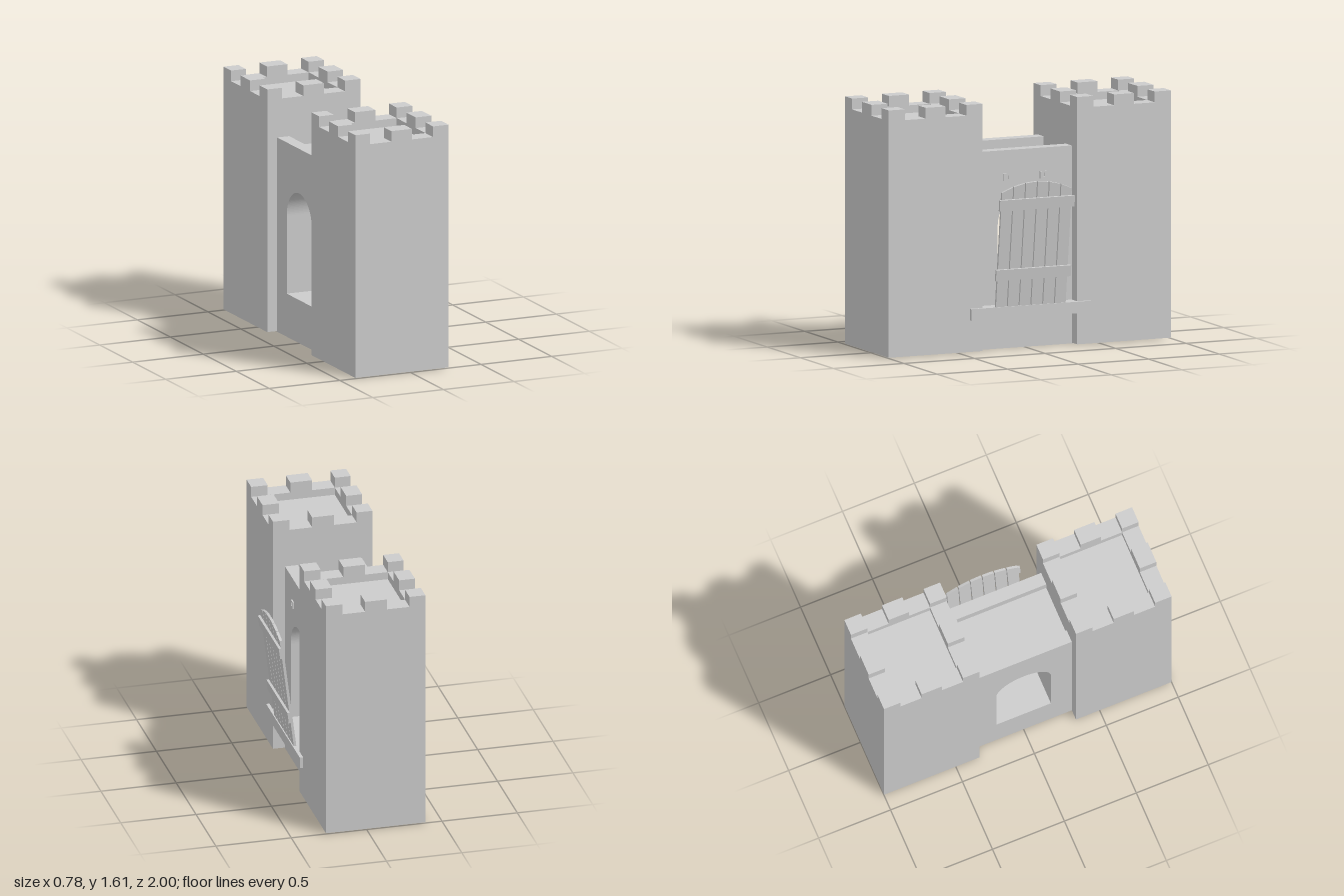
import * as THREE from 'three';

const grey = new THREE.MeshStandardMaterial({ color: 0xcccccc });

function add(parent, name, geometry) {
  const mesh = new THREE.Mesh(geometry, grey);
  mesh.name = name;
  parent.add(mesh);
  return mesh;
}

// Box given by its limits on each axis
function box(parent, name, [x0, x1], [y0, y1], [z0, z1]) {
  const g = new THREE.BoxGeometry(x1 - x0, y1 - y0, z1 - z0);
  g.translate((x0 + x1) / 2, (y0 + y1) / 2, (z0 + z1) / 2);
  return add(parent, name, g);
}

function rectPath(path, x0, x1, y0, y1) {
  path.moveTo(x0, y0);
  path.lineTo(x1, y0);
  path.lineTo(x1, y1);
  path.lineTo(x0, y1);
  path.closePath();
  return path;
}

// Extrude a z/y outline along +x, starting at x0
function extrudeX(shape, x0, depth) {
  const g = new THREE.ExtrudeGeometry(shape, { depth, bevelEnabled: false, curveSegments: 28 });
  g.rotateY(Math.PI / 2);
  g.translate(x0, 0, 0);
  return g;
}

function makeTower(side) {
  const tower = new THREE.Group();
  tower.name = side > 0 ? 'leftTower' : 'rightTower';
  const zr = (a, b) => (side > 0 ? [a, b] : [-b, -a]);
  const floorY = 1.49, wallY = 1.54, topY = 1.61;
  box(tower, 'towerBody', [-0.39, 0.27], [0.005, floorY], zr(0.335, 1));

  // Parapet ring around the sunken roof
  const [z0, z1] = zr(0.335, 1);
  const [i0, i1] = zr(0.45, 0.885);
  const ring = rectPath(new THREE.Shape(), -0.39, 0.27, -z1, -z0);
  ring.holes.push(rectPath(new THREE.Path(), -0.285, 0.16, -i1, -i0));
  const g = new THREE.ExtrudeGeometry(ring, { depth: wallY - floorY, bevelEnabled: false });
  g.rotateX(-Math.PI / 2);
  g.translate(0, floorY, 0);
  add(tower, 'parapet', g);

  // Merlons on corners and mid-sides
  const xs = [[-0.39, -0.285], [-0.135, 0.01], [0.16, 0.27]];
  const zs = [[0.335, 0.45], [0.597, 0.738], [0.885, 1]];
  xs.forEach((x, i) => zs.forEach((z, j) => {
    if (i === 1 && j === 1) return;
    box(tower, 'merlon', x, [wallY, topY], zr(...z));
  }));
  return tower;
}

function makeGatehouse() {
  const house = new THREE.Group();
  house.name = 'gatehouse';
  // Wall with an arched passage
  const wall = rectPath(new THREE.Shape(), -0.335, 0.335, 0.002, 1.22);
  const arch = new THREE.Path();
  arch.moveTo(-0.19, 0.285);
  arch.lineTo(0.19, 0.285);
  arch.lineTo(0.19, 0.8);
  arch.absarc(0, 0.8, 0.19, 0, Math.PI, false);
  arch.closePath();
  wall.holes.push(arch);
  add(house, 'archedWall', extrudeX(wall, -0.32, 0.51));

  // Low walls along the walkway
  for (const x of [[-0.32, -0.235], [0.105, 0.19]]) {
    box(house, 'walkwayParapet', x, [1.22, 1.285], [-0.335, 0.335]);
  }

  // Square chain-hole frames
  for (const z of [-0.13, 0.13]) {
    const frame = rectPath(new THREE.Shape(), z - 0.023, z + 0.023, 1.087, 1.133);
    frame.holes.push(rectPath(new THREE.Path(), z - 0.012, z + 0.012, 1.098, 1.122));
    add(house, 'chainHoleFrame', extrudeX(frame, 0.19, 0.01));
  }

  // Sill and the ledge that carries the gate
  box(house, 'sill', [0.19, 0.27], [0.21, 0.285], [-0.335, 0.335]);
  box(house, 'ledge', [0.27, 0.292], [0.21, 0.285], [-0.425, 0.425]);
  return house;
}

function makeGate() {
  const gate = new THREE.Group();
  gate.name = 'drawbridge';
  // Planks cut along a shallow arc
  const count = 6, half = 0.247, gap = 0.007, thick = 0.017;
  const width = (2 * half - gap * (count - 1)) / count;
  const topAt = (s) => 0.82 - 0.06 * (s / half) ** 2;
  for (let i = 0; i < count; i++) {
    const a = -half + i * (width + gap), b = a + width;
    const plank = new THREE.Shape();
    plank.moveTo(a, 0);
    plank.lineTo(b, 0);
    for (let k = 0; k <= 4; k++) {
      const s = b + (a - b) * k / 4;
      plank.lineTo(s, topAt(s));
    }
    plank.closePath();
    add(gate, 'plank', extrudeX(plank, 0, thick));
  }
  for (const y of [0.178, 0.642]) {
    box(gate, 'crossbar', [thick, thick + 0.016], [y, y + 0.073], [-0.265, 0.265]);
  }
  // Leaning outwards from the ledge
  gate.position.set(0.268, 0.287, 0);
  gate.rotation.z = -0.124;
  return gate;
}

export function createModel() {
  const model = new THREE.Group();
  model.name = 'castleGate';
  model.add(makeTower(1), makeTower(-1), makeGatehouse(), makeGate());
  // Thin footing under the whole building
  box(model, 'footing', [-0.32, 0.19], [0, 0.005], [-0.94, 0.94]);
  return model;
}
